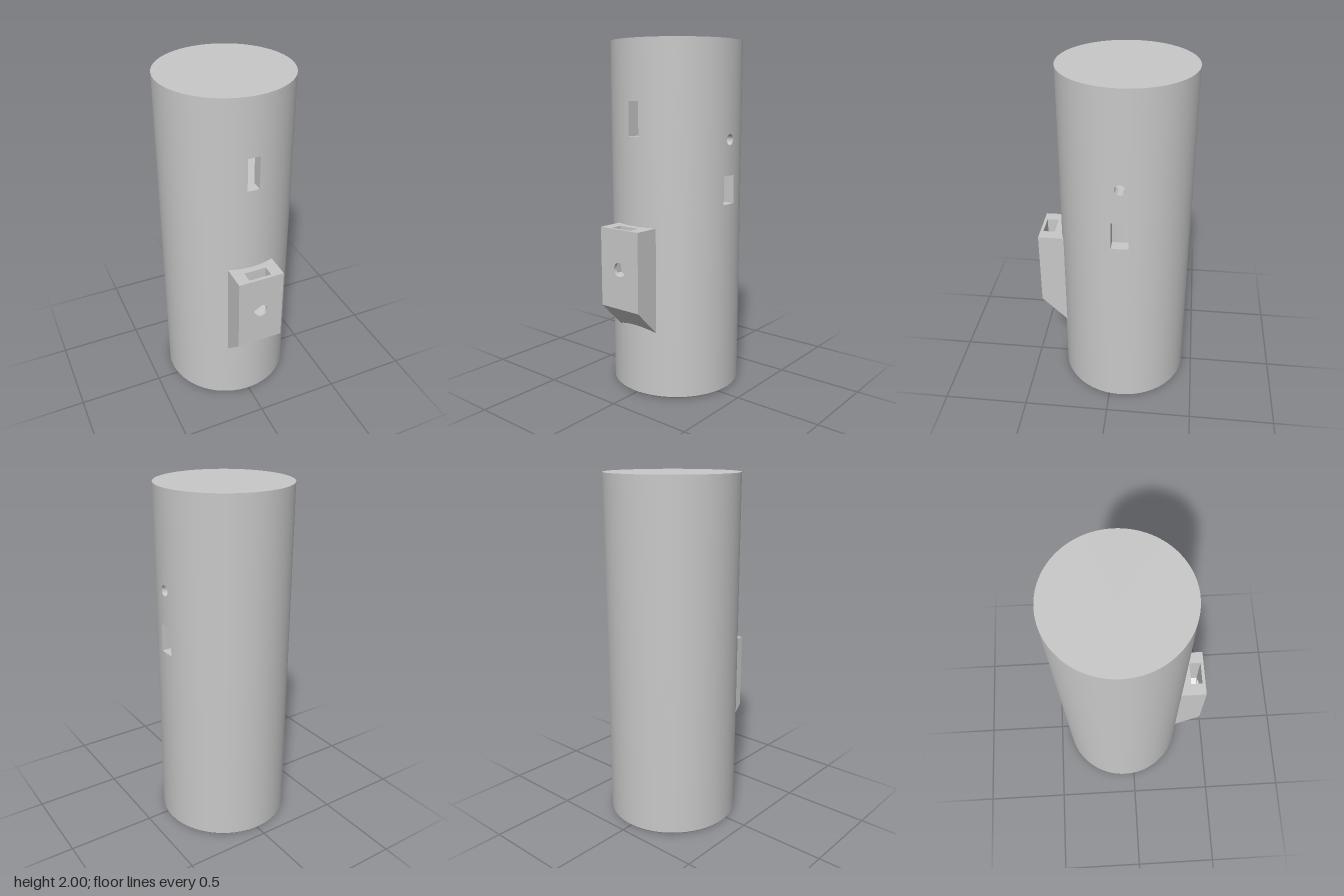
import * as THREE from 'three';

const R = 0.376, BORE = 0.344, LINER = 0.31, AXIS_Z = -0.062;
const TOP = 2, CEILING = 1.966, SHOULDER = 1, FLOOR = 1.42, CHAMFER = 0.01;
const FRONT_HALF = 0.038, SIDE_HALF = 0.051;

// Half outlines of the wall openings as [distance from centre line, height]
const slot = [[0, 1.67], [0.035, 1.67], [0.035, 1.48], [0, 1.48]];
const window = [[0, 1.26], [0.048, 1.26], [0.048, 1.1], [0, 1.1]];
const roundHole = Array.from({ length: 13 }, (_, i) => {
  const a = (i / 12) * Math.PI;
  return [0.03 * Math.sin(a), 1.46 + 0.03 * Math.cos(a)];
});

function shapeOf(points) {
  return new THREE.Shape(points.map(([x, y]) => new THREE.Vector2(x, y)));
}

export function createModel() {
  const model = new THREE.Group();
  const grey = new THREE.MeshStandardMaterial({ color: 0xc8c8c8, side: THREE.DoubleSide });
  grey.name = 'plainGrey';

  function add(parent, name, geometry) {
    const mesh = new THREE.Mesh(geometry, grey);
    mesh.name = name;
    parent.add(mesh);
    return mesh;
  }

  // Hollow tube, closed at the top and open at the bottom
  const tube = new THREE.Group();
  tube.name = 'tube';
  tube.position.z = AXIS_Z;
  model.add(tube);

  function wall(name, rTop, rBottom, y0, y1, start = 0, end = Math.PI * 2) {
    const segments = Math.ceil((end - start) * 18);
    const g = new THREE.CylinderGeometry(rTop, rBottom, y1 - y0, segments, 1, true, start, end - start);
    add(tube, name, g.translate(0, (y0 + y1) / 2, 0));
  }

  // Cylinder sheet that leaves gaps for the front and side panels
  function gappedWall(name, r, y0, y1) {
    const a = Math.asin(FRONT_HALF / r), b = Math.asin(SIDE_HALF / r);
    wall(name + 'FrontLeft', r, r, y0, y1, a, Math.PI / 2 - b);
    wall(name + 'Back', r, r, y0, y1, Math.PI / 2 + b, Math.PI * 2 - a);
  }

  // Curved wall panel in two mirrored halves, with straight-cut openings
  function panel(name, half, openings, turn, rOut, rIn, y0, y1) {
    for (const side of [1, -1]) {
      const outline = [[0, y0], [half, y0], [half, y1], [0, y1], ...openings.flat()];
      const points = outline.map(([x, y]) => [x * side, y]);
      const g = new THREE.ExtrudeGeometry(shapeOf(points), { depth: 1, bevelEnabled: false });
      const p = g.attributes.position;
      const radii = [];
      for (let i = 0; i < p.count; i++) {
        radii.push(p.getZ(i) > 0.5 ? rOut : rIn);
        p.setZ(i, Math.sqrt(radii[i] ** 2 - p.getX(i) ** 2));
      }
      g.computeVertexNormals();
      const caps = g.groups[0];
      for (let i = caps.start; i < caps.start + caps.count; i++) {
        const k = (radii[i] === rOut ? 1 : -1) / radii[i];
        g.attributes.normal.setXYZ(i, p.getX(i) * k, 0, p.getZ(i) * k);
      }
      g.clearGroups();
      add(tube, name, g).rotation.y = turn;
    }
  }

  function panels(label, ...size) {
    panel(label + 'FrontPanel', FRONT_HALF, [slot], 0, ...size);
    panel(label + 'SidePanel', SIDE_HALF, [roundHole, window], Math.PI / 2, ...size);
  }

  function disc(name, r, y) {
    add(tube, name, new THREE.CircleGeometry(r, 114).rotateX(-Math.PI / 2).translate(0, y, 0));
  }

  gappedWall('outerWall', R, CHAMFER, TOP);
  gappedWall('boreWall', BORE, CHAMFER, TOP);
  panels('outer', R, BORE, CHAMFER, TOP);
  disc('topCap', R, TOP);

  // Chamfered rim around the open bottom
  wall('bottomChamfer', R, R - CHAMFER, 0, CHAMFER);
  wall('rimInside', BORE, BORE, 0, CHAMFER);
  add(tube, 'bottomRim', new THREE.RingGeometry(BORE, R - CHAMFER, 114).rotateX(Math.PI / 2));

  // Thicker upper wall with an inner floor
  gappedWall('linerWall', LINER, SHOULDER, CEILING);
  panels('liner', BORE, LINER, SHOULDER, CEILING);
  add(tube, 'linerShoulder', new THREE.RingGeometry(LINER, BORE, 114).rotateX(Math.PI / 2).translate(0, SHOULDER, 0));
  disc('innerFloor', LINER, FLOOR);
  disc('ceiling', LINER, CEILING);

  // Mounting block with a bolt hole and a V-bottomed nut pocket
  const block = new THREE.Group();
  block.name = 'mountingBlock';
  model.add(block);
  const W = 0.135, Y0 = 0.535, Y1 = 0.985, FRONT = 0.438, BOLT_Y = 0.76;

  function layer(name, shape, z0, z1) {
    const g = new THREE.ExtrudeGeometry(shape, { depth: z1 - z0, bevelEnabled: false, curveSegments: 24 });
    g.translate(0, 0, z0);
    const p = g.attributes.position;
    // Slope the underside back at 45 degrees
    for (let i = 0; i < p.count; i++) {
      if (p.getY(i) < Y0 + 0.01) p.setY(i, Y0 - (FRONT - p.getZ(i)));
    }
    g.computeVertexNormals();
    g.clearGroups();
    add(block, name, g);
  }

  const plate = shapeOf([[-W, Y0], [W, Y0], [W, Y1], [-W, Y1]]);
  plate.holes.push(new THREE.Path().absarc(0, BOLT_Y, 0.04, 0, Math.PI * 2, true));
  const n = 0.066, c = n / Math.sqrt(3);
  const pocket = shapeOf([
    [-W, Y0], [W, Y0], [W, Y1], [n, Y1], [n, BOLT_Y - c],
    [0, BOLT_Y - 2 * c], [-n, BOLT_Y - c], [-n, Y1], [-W, Y1],
  ]);
  layer('blockFront', plate, 0.42, FRONT);
  layer('blockNutPocket', pocket, 0.353, 0.42);
  layer('blockBack', plate, 0.284, 0.353);

  return model;
}
